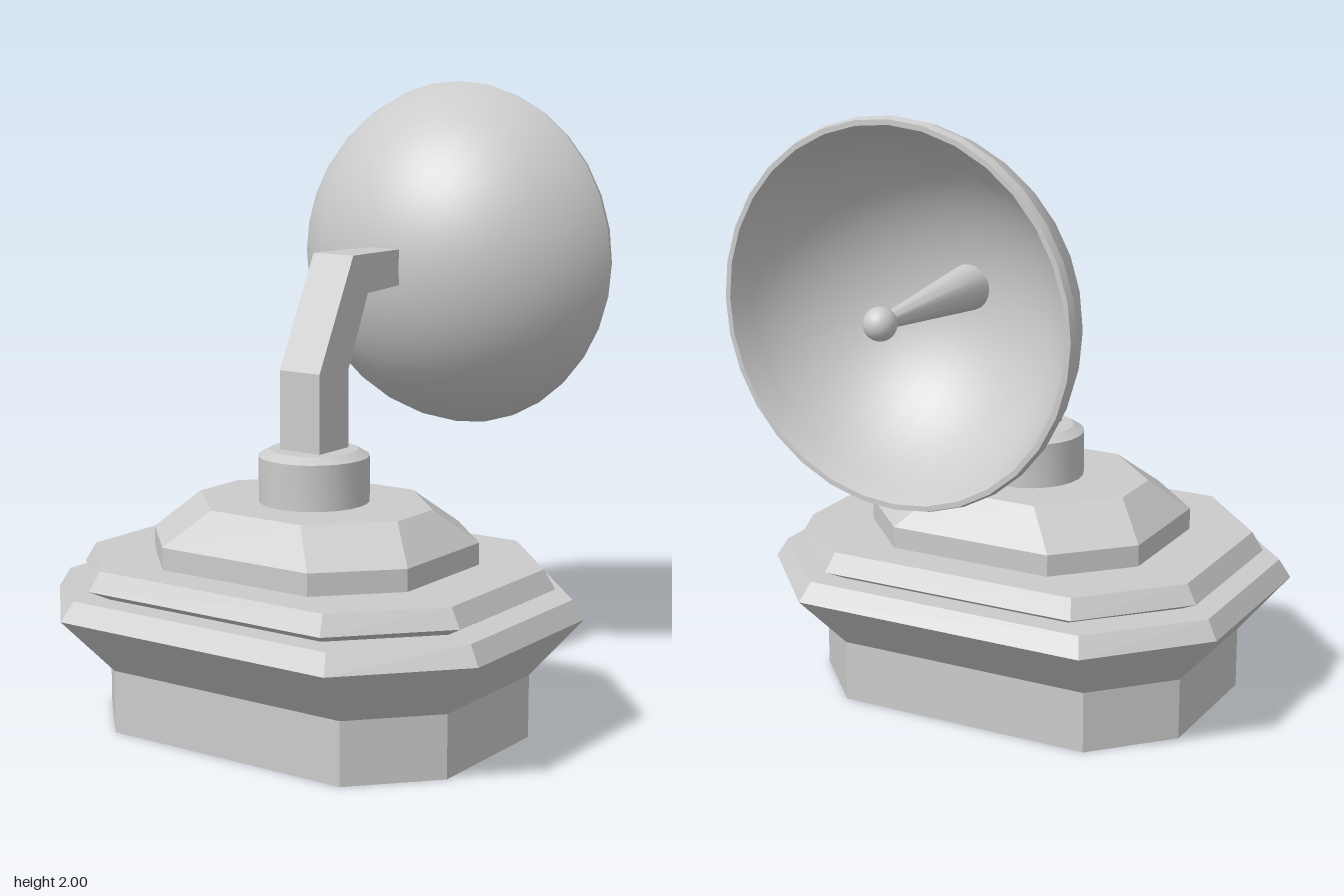
import * as THREE from 'three';
import { toCreasedNormals } from 'three/addons/utils/BufferGeometryUtils.js';

const CX = -0.17; // pedestal axis
const AXIS_Y = 1.42; // dish axis height

function part(name, geometry, flat = false) {
  const mesh = new THREE.Mesh(geometry, new THREE.MeshStandardMaterial({ color: 0xcccccc, flatShading: flat }));
  mesh.name = name;
  return mesh;
}

// Skin a list of equal-length rings (anticlockwise seen from above) with flat capped ends
function loft(rings) {
  const pos = [];
  const tri = (...pts) => pts.forEach((p) => pos.push(...p));
  const n = rings[0].length;
  for (let i = 0; i < rings.length - 1; i++) {
    for (let j = 0; j < n; j++) {
      const k = (j + 1) % n;
      const a = rings[i][j], b = rings[i][k], c = rings[i + 1][k], d = rings[i + 1][j];
      tri(a, b, c);
      tri(a, c, d);
    }
  }
  const bottom = rings[0], top = rings[rings.length - 1];
  for (let j = 1; j < n - 1; j++) {
    tri(bottom[0], bottom[j + 1], bottom[j]);
    tri(top[0], top[j], top[j + 1]);
  }
  const g = new THREE.BufferGeometry();
  g.setAttribute('position', new THREE.Float32BufferAttribute(pos, 3));
  g.computeVertexNormals();
  return g;
}

// Stretched octagon: half sizes hx, hz and half lengths ax, az of its straight sides
const octagon = ([y, hx, hz, ax, az]) => [
  [hx, az], [hx, -az], [ax, -hz], [-ax, -hz],
  [-hx, -az], [-hx, az], [-ax, hz], [ax, hz],
].map(([x, z]) => [CX + x, y, z]);

function lathe(points, segments, crease = 0.5) {
  const g = new THREE.LatheGeometry(points.map(([r, y]) => new THREE.Vector2(r, y)), segments);
  return toCreasedNormals(g, crease);
}

// Spherical cap profile from apex to rim, as [radius, x]
function cap(x0, x1, rim, steps) {
  const depth = x1 - x0;
  const R = (depth * depth + rim * rim) / (2 * depth);
  const end = Math.acos((R - depth) / R);
  return Array.from({ length: steps + 1 }, (_, i) => {
    const t = (end * i) / steps;
    return [R * Math.sin(t), x0 + R * (1 - Math.cos(t))];
  });
}

export function createModel() {
  const model = new THREE.Group();
  model.name = 'dishAntenna';

  // Stepped octagonal pedestal
  model.add(part('base', loft([
    [0, 0.47, 0.65, 0.235, 0.43],
    [0.2, 0.47, 0.65, 0.235, 0.43],
    [0.385, 0.64, 0.80, 0.31, 0.495],
    [0.445, 0.60, 0.765, 0.295, 0.475],
    [0.445, 0.52, 0.66, 0.25, 0.40],
    [0.475, 0.575, 0.715, 0.275, 0.435],
    [0.535, 0.54, 0.68, 0.265, 0.42],
  ].map(octagon)), true));
  model.add(part('upperTier', loft([
    [0.53, 0.415, 0.485, 0.20, 0.275],
    [0.605, 0.415, 0.485, 0.20, 0.275],
    [0.715, 0.305, 0.38, 0.098, 0.17],
  ].map(octagon)), true));

  // Round swivel collar
  const collar = part('collar', lathe([[0, 0.7], [0.175, 0.7], [0.175, 0.86], [0.14, 0.88], [0, 0.88]], 24));
  collar.position.x = CX;
  model.add(collar);

  // Bent arm: inner corner, outer corner, half width
  const arm = [
    [[-0.09, 0.86], [-0.245, 0.86], 0.076],
    [[-0.09, 1.13], [-0.245, 1.13], 0.076],
    [[0.015, 1.355], [-0.065, 1.48], 0.076],
    [[0.235, 1.36], [0.235, 1.475], 0.058],
  ];
  model.add(part('arm', loft(arm.map(([a, b, w]) => [[...a, w], [...a, -w], [...b, -w], [...b, w]])), true));

  // Dish assembly, turned so its axis points along +x
  const dish = new THREE.Group();
  dish.name = 'dish';
  dish.position.y = AXIS_Y;
  dish.rotation.z = -Math.PI / 2;
  const outer = cap(0.21, 0.67, 0.58, 14);
  const inner = cap(0.235, 0.67, 0.547, 14).reverse();
  dish.add(part('reflector', lathe([...outer, [0.573, 0.695], [0.557, 0.695], ...inner], 32)));

  // Feed horn cone and ball tip
  dish.add(part('feedRod', lathe([[0.072, 0.23], [0.022, 0.72], [0, 0.72]], 20)));
  const tip = part('feedTip', new THREE.SphereGeometry(0.05, 20, 14));
  tip.position.y = 0.755;
  dish.add(tip);
  model.add(dish);

  return model;
}
